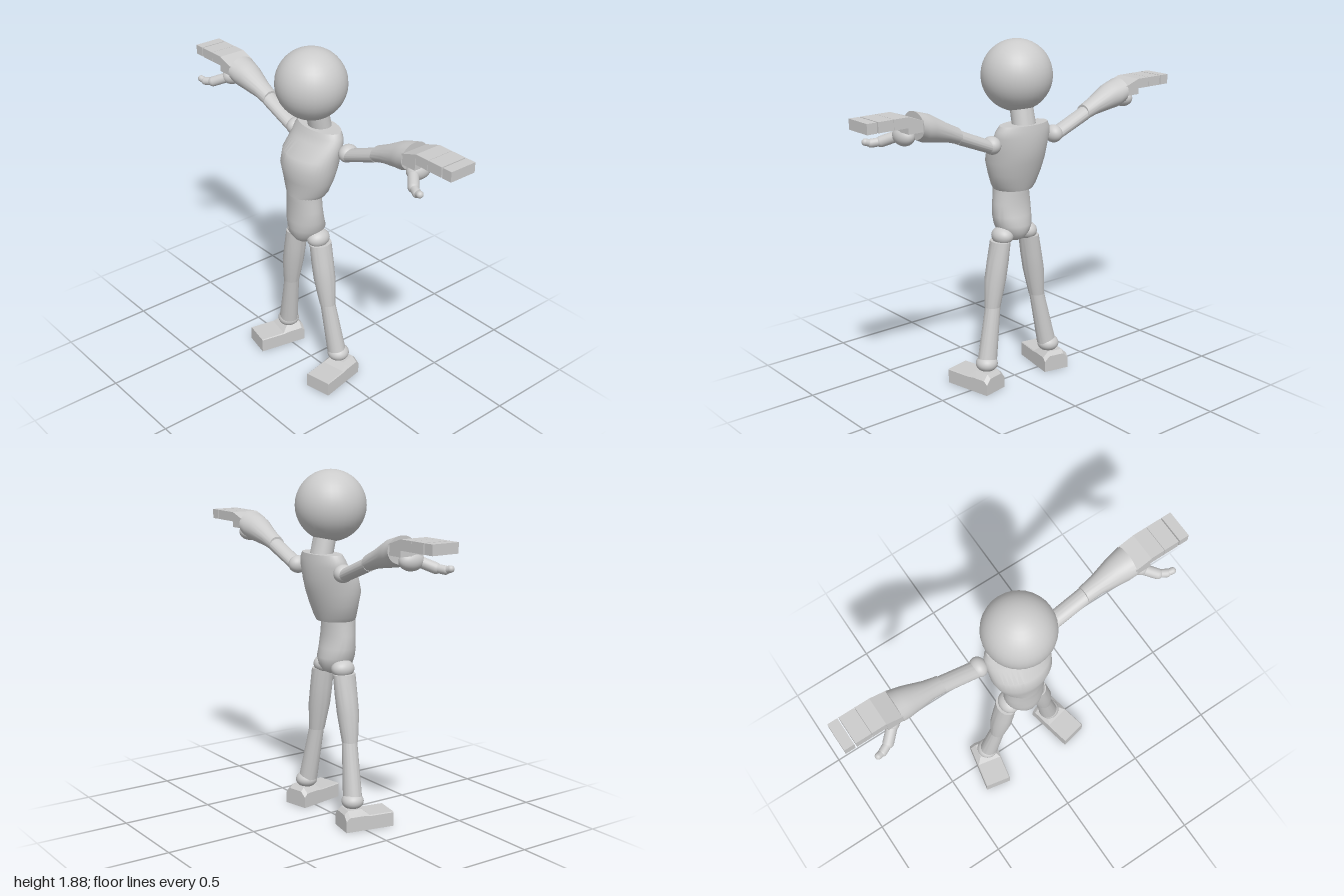
import * as THREE from 'three';
import { toCreasedNormals } from 'three/addons/utils/BufferGeometryUtils.js';

const material = new THREE.MeshStandardMaterial({ color: 0xcccccc });

function add(parent, name, geometry) {
  const mesh = new THREE.Mesh(geometry, material);
  mesh.name = name;
  parent.add(mesh);
  return mesh;
}

// Skin a list of rings (running counter-clockwise about the direction of travel) and cap both ends
function skin(rings, crease = 0.6) {
  const n = rings[0].length, pos = [], idx = [];
  rings.forEach(r => r.forEach(p => pos.push(...p)));
  for (let i = 0; i < rings.length - 1; i++) {
    for (let j = 0; j < n; j++) {
      const a = i * n + j, b = i * n + (j + 1) % n;
      idx.push(a, b, b + n, a, b + n, a + n);
    }
  }
  const last = (rings.length - 1) * n;
  for (let j = 1; j < n - 1; j++) {
    idx.push(0, j + 1, j, last, last + j, last + j + 1);
  }
  const g = new THREE.BufferGeometry();
  g.setAttribute('position', new THREE.Float32BufferAttribute(pos, 3));
  g.setIndex(idx);
  return toCreasedNormals(g, crease);
}

// Oval sections. Along y: [y, z, x, halfZ, halfX]. Along x: [x, y, z, halfY, halfZ].
function loft(axis, sections, n = 40) {
  return skin(sections.map(([t, ca, cb, ha, hb]) =>
    Array.from({ length: n }, (_, j) => {
      const q = j / n * Math.PI * 2;
      const a = ca + ha * Math.cos(q), b = cb + hb * Math.sin(q);
      return axis === 'x' ? [t, a, b] : [b, t, a];
    })));
}

function ball(parent, name, x, y, z, r, sx = 1, sy = 1, sz = 1) {
  const m = add(parent, name, new THREE.SphereGeometry(r, 32, 20));
  m.position.set(x, y, z);
  m.scale.set(sx, sy, sz);
}

// Box with corners moved by separate end heights
function block(x0, x1, y0, y1, z0, z1, startTop = y1) {
  const ring = (x, top) => [[x, y0, z0], [x, top, z0], [x, top, z1], [x, y0, z1]];
  return skin([ring(x0, startTop), ring(x1, y1)], 0.1);
}

function buildArm() {
  const arm = new THREE.Group();
  ball(arm, 'shoulderJoint', 0.21, 1.367, -0.07, 0.05, 0.9, 0.95, 1.1);
  add(arm, 'upperArm', loft('x', [
    [0.225, 1.362, -0.068, 0.036, 0.046],
    [0.435, 1.446, -0.068, 0.039, 0.046],
  ]));
  add(arm, 'forearm', loft('x', [
    [0.425, 1.45, -0.068, 0.043, 0.047],
    [0.50, 1.479, -0.068, 0.05, 0.053],
    [0.60, 1.515, -0.068, 0.07, 0.074],
    [0.645, 1.525, -0.068, 0.074, 0.082],
    [0.685, 1.54, -0.068, 0.07, 0.087],
  ]));

  // Flat hand with three finger segments
  add(arm, 'palm', block(0.68, 0.77, 1.52, 1.605, -0.145, 0.012, 1.575));
  [[0.77, 0.85], [0.852, 0.938], [0.945, 1]].forEach(([a, b]) =>
    add(arm, 'fingerSegment', block(a, b, 1.552, 1.605, -0.145, 0.01)));

  // Thumb
  ball(arm, 'thumbBase', 0.735, 1.493, -0.05, 0.05, 0.95, 1, 1.4);
  const thumb = [[0.74, 1.488, -0.01], [0.80, 1.458, 0.045], [0.845, 1.452, 0.067], [0.873, 1.46, 0.075]]
    .map(p => new THREE.Vector3(...p));
  [0.028, 0.022, 0.018].forEach((r, i) => {
    const d = thumb[i + 1].clone().sub(thumb[i]);
    const m = add(arm, 'thumbSegment', new THREE.CapsuleGeometry(r, d.length(), 8, 20));
    m.position.copy(thumb[i]).addScaledVector(d, 0.5);
    m.quaternion.setFromUnitVectors(new THREE.Vector3(0, 1, 0), d.normalize());
  });
  return arm;
}

function buildLeg() {
  const leg = new THREE.Group();
  ball(leg, 'hipJoint', 0.083, 0.835, 0.012, 0.055, 1, 0.9, 1.2);
  add(leg, 'thigh', loft('y', [
    [0.45, 0.007, 0.157, 0.043, 0.044],
    [0.60, 0.01, 0.135, 0.06, 0.058],
    [0.70, 0.01, 0.117, 0.063, 0.056],
    [0.81, 0.01, 0.099, 0.065, 0.049],
  ]));
  add(leg, 'shin', loft('y', [
    [0.15, -0.015, 0.214, 0.05, 0.055],
    [0.45, 0.005, 0.157, 0.041, 0.042],
  ]));
  ball(leg, 'ankleJoint', 0.221, 0.142, -0.02, 0.06, 1, 0.75, 1);

  // Foot turned outward, raised heel with bevelled top edges: [z, height, bevel]
  const w = 0.074;
  const foot = add(leg, 'foot', skin(
    [[0, 0.09, 0.03], [0.02, 0.11, 0.03], [0.10, 0.11, 0.03], [0.135, 0.08, 0.005], [0.275, 0.08, 0.004]]
      .map(([z, h, c]) => [
        [-w, 0, z], [w, 0, z], [w, h - c, z], [w - c, h, z], [c - w, h, z], [-w, h - c, z],
      ]), 0.2));
  foot.position.set(0.22, 0, -0.095);
  foot.rotation.y = 0.2;
  return leg;
}

// Adds a limb on both sides
function addPair(parent, name, build) {
  [['left', 1], ['right', -1]].forEach(([side, s]) => {
    const limb = build();
    limb.name = side + name;
    limb.scale.x = s;
    parent.add(limb);
  });
}

export function createModel() {
  const model = new THREE.Group();
  model.name = 'jointedFigure';
  const body = new THREE.Group();
  body.name = 'body';
  body.position.x = -0.008;
  model.add(body);

  ball(body, 'head', 0, 1.697, -0.008, 0.188);
  add(body, 'neck', loft('y', [
    [1.41, -0.075, 0, 0.06, 0.066],
    [1.58, -0.035, 0, 0.06, 0.062],
  ]));
  add(body, 'chest', loft('y', [
    [1.09, 0.025, 0, 0.102, 0.11],
    [1.115, 0.02, 0, 0.107, 0.128],
    [1.18, 0.012, 0, 0.12, 0.153],
    [1.25, 0.007, 0, 0.137, 0.17],
    [1.32, -0.01, 0, 0.135, 0.174],
    [1.39, -0.05, 0, 0.096, 0.174],
    [1.425, -0.058, 0, 0.085, 0.168],
    [1.452, -0.063, 0, 0.076, 0.15],
  ]));
  add(body, 'pelvis', loft('y', [
    [0.80, 0.028, 0, 0.045, 0.03],
    [0.815, 0.022, 0, 0.07, 0.055],
    [0.85, 0.024, 0, 0.094, 0.085],
    [0.89, 0.025, 0, 0.1, 0.105],
    [0.94, 0.034, 0, 0.092, 0.114],
    [1.01, 0.038, 0, 0.082, 0.114],
    [1.06, 0.04, 0, 0.084, 0.107],
    [1.095, 0.041, 0, 0.084, 0.106],
  ]));
  addPair(body, 'Leg', buildLeg);
  addPair(model, 'Arm', buildArm);
  return model;
}
